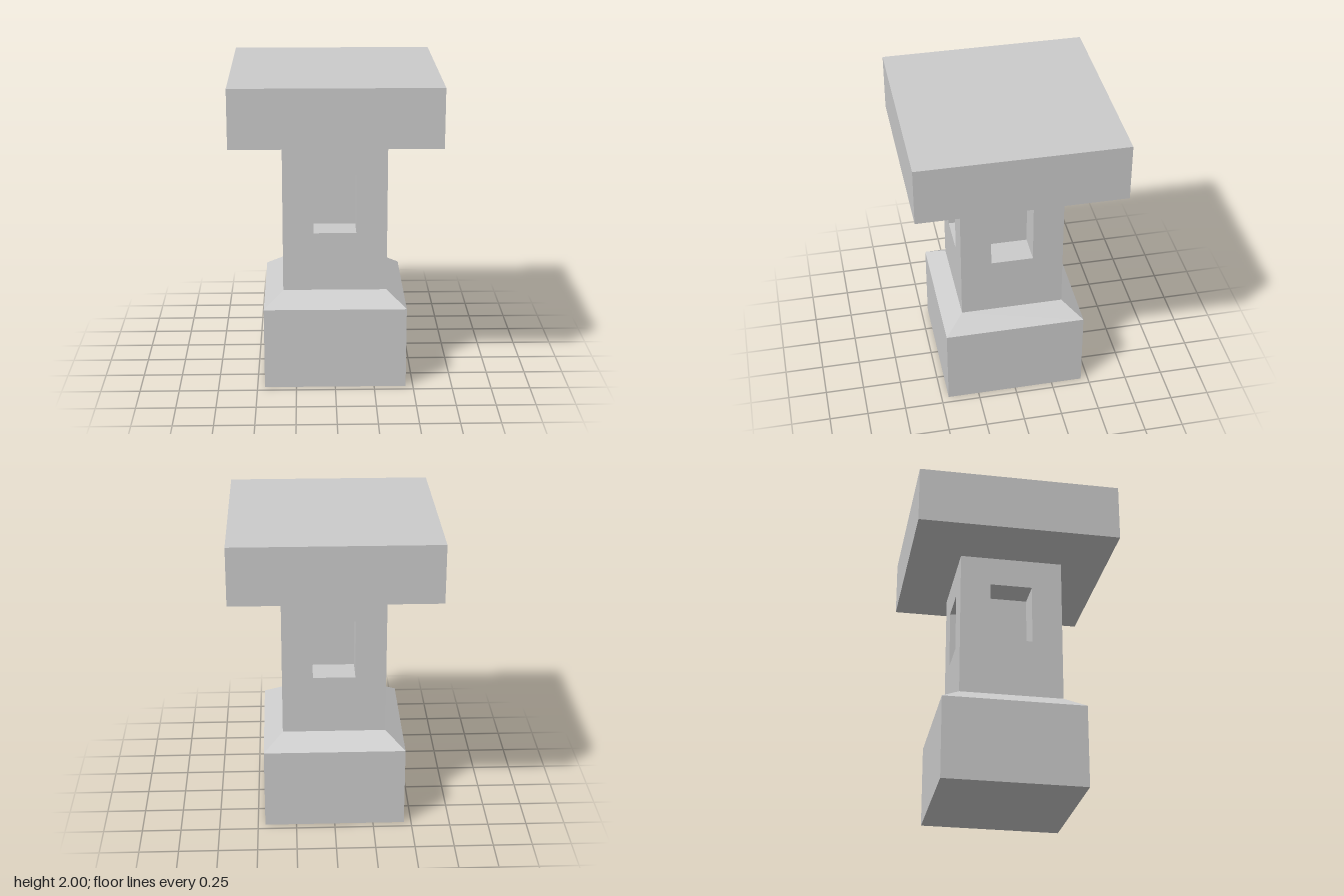
import * as THREE from 'three';

const material = new THREE.MeshStandardMaterial({ color: 0xcccccc, flatShading: true });

// Half-widths and heights shared by the parts
const SHAFT = 0.33, SHAFT_BOTTOM = 0.62, SHAFT_TOP = 1.575;
const NICHE = 0.135, NICHE_BOTTOM = 1.0, NICHE_TOP = 1.385, NICHE_DEPTH = 0.195;

function addMesh(parent, name, geometry) {
  const mesh = new THREE.Mesh(geometry, material);
  mesh.name = name;
  parent.add(mesh);
  return mesh;
}

// Square block turned from a profile of [half-width, height] pairs, bottom to top
function squareBlock(profile) {
  const points = profile.map(([half, y]) => new THREE.Vector2(half * Math.SQRT2, y));
  const geometry = new THREE.LatheGeometry(points, 4, Math.PI / 4).toNonIndexed();
  geometry.computeVertexNormals();
  return geometry;
}

function rectangle(PathType, half, bottom, top) {
  return new PathType([[-half, bottom], [half, bottom], [half, top], [-half, top]]
    .map(([x, y]) => new THREE.Vector2(x, y)));
}

// Shaft face with a window opening
function shaftFace() {
  const shape = rectangle(THREE.Shape, SHAFT, SHAFT_BOTTOM, SHAFT_TOP);
  shape.holes.push(rectangle(THREE.Path, NICHE, NICHE_BOTTOM, NICHE_TOP));
  return new THREE.ShapeGeometry(shape).translate(0, 0, SHAFT);
}

// Inward-facing box, open towards +z
function nicheLining() {
  const geometry = new THREE.BoxGeometry(2 * NICHE, NICHE_TOP - NICHE_BOTTOM, NICHE_DEPTH);
  const index = Array.from(geometry.index.array);
  index.splice(24, 6); // drop the front side
  geometry.setIndex(index);
  geometry.clearGroups();
  geometry.scale(-1, 1, 1); // mirror to turn the faces inward
  geometry.computeVertexNormals();
  return geometry.translate(0, (NICHE_BOTTOM + NICHE_TOP) / 2, SHAFT - NICHE_DEPTH / 2);
}

export function createModel() {
  const model = new THREE.Group();
  model.name = 'stonePillar';

  // Plinth with sloped shoulder
  addMesh(model, 'base', squareBlock([[0, 0], [0.453, 0], [0.453, 0.53], [SHAFT, SHAFT_BOTTOM]]));

  // Four identical shaft sides, each with a recessed window
  const face = shaftFace();
  const lining = nicheLining();
  ['front', 'left', 'back', 'right'].forEach((side, i) => {
    const group = new THREE.Group();
    group.name = `${side}ShaftSide`;
    group.rotation.y = i * Math.PI / 2;
    addMesh(group, 'shaftFace', face);
    addMesh(group, 'windowNiche', lining);
    model.add(group);
  });

  // Overhanging cap with sloped underside
  addMesh(model, 'cap', squareBlock([[SHAFT, SHAFT_TOP], [0.648, 1.63], [0.648, 2], [0, 2]]));

  return model;
}
